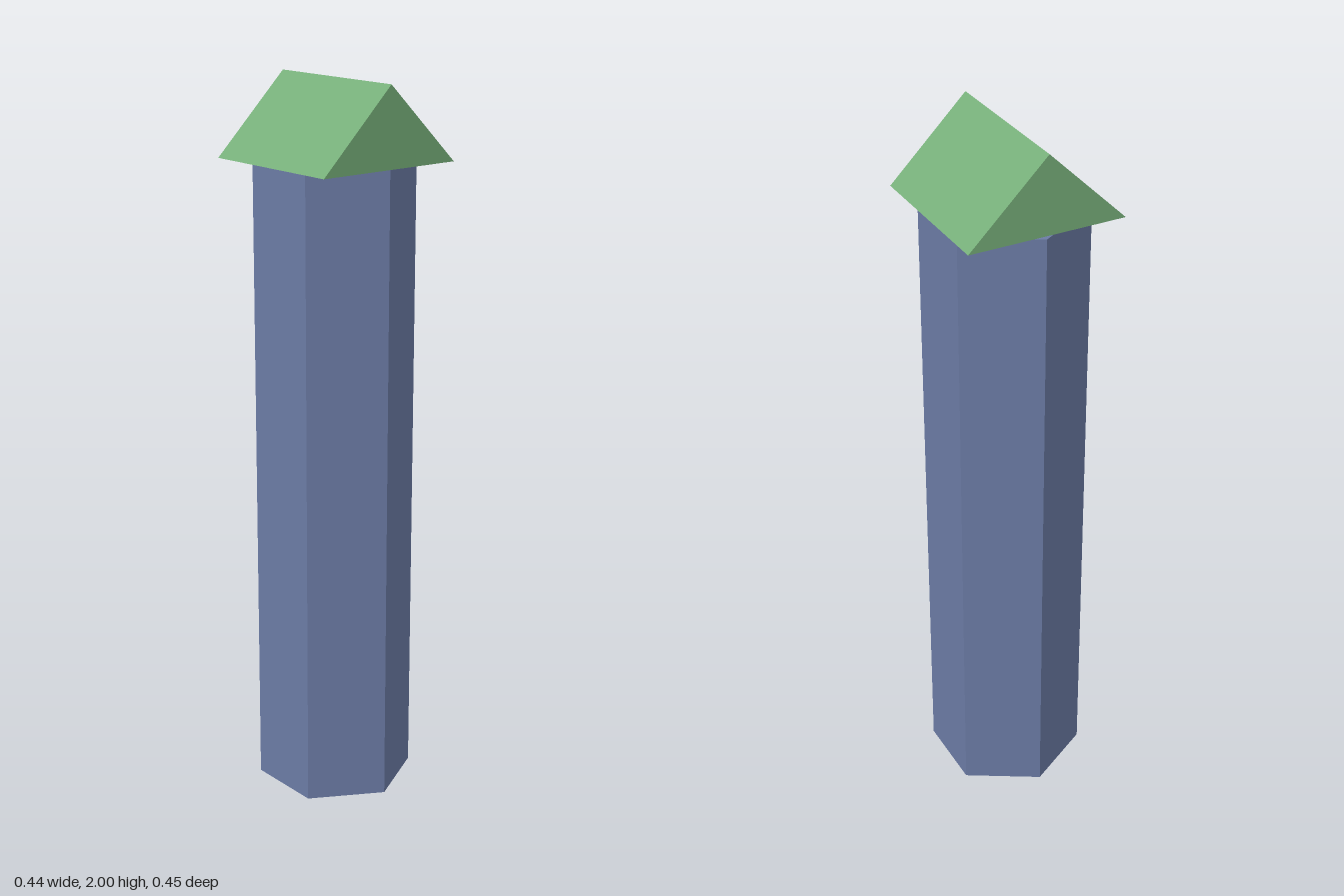
import * as THREE from 'three';

export function createModel() {
  const model = new THREE.Group();
  const add = (name, geometry, color, x, y, z) => {
    const material = new THREE.MeshStandardMaterial({ color, flatShading: true });
    const mesh = new THREE.Mesh(geometry, material);
    mesh.name = name;
    mesh.position.set(x, y, z);
    model.add(mesh);
  };

  const eaves = 1.785;

  // Six-sided column with one edge facing the front
  add('column', new THREE.CylinderGeometry(0.22, 0.22, eaves, 6), 0x6b7ba4, 0.012, eaves / 2, -0.008);

  // Gabled roof, ridge running front to back
  const gable = new THREE.Shape([
    new THREE.Vector2(-0.22, 0),
    new THREE.Vector2(0.22, 0),
    new THREE.Vector2(0, 2 - eaves),
  ]);
  const roof = new THREE.ExtrudeGeometry(gable, { depth: 0.44, bevelEnabled: false });
  add('roof', roof, 0x76ae79, 0, eaves, -0.213);

  return model;
}
